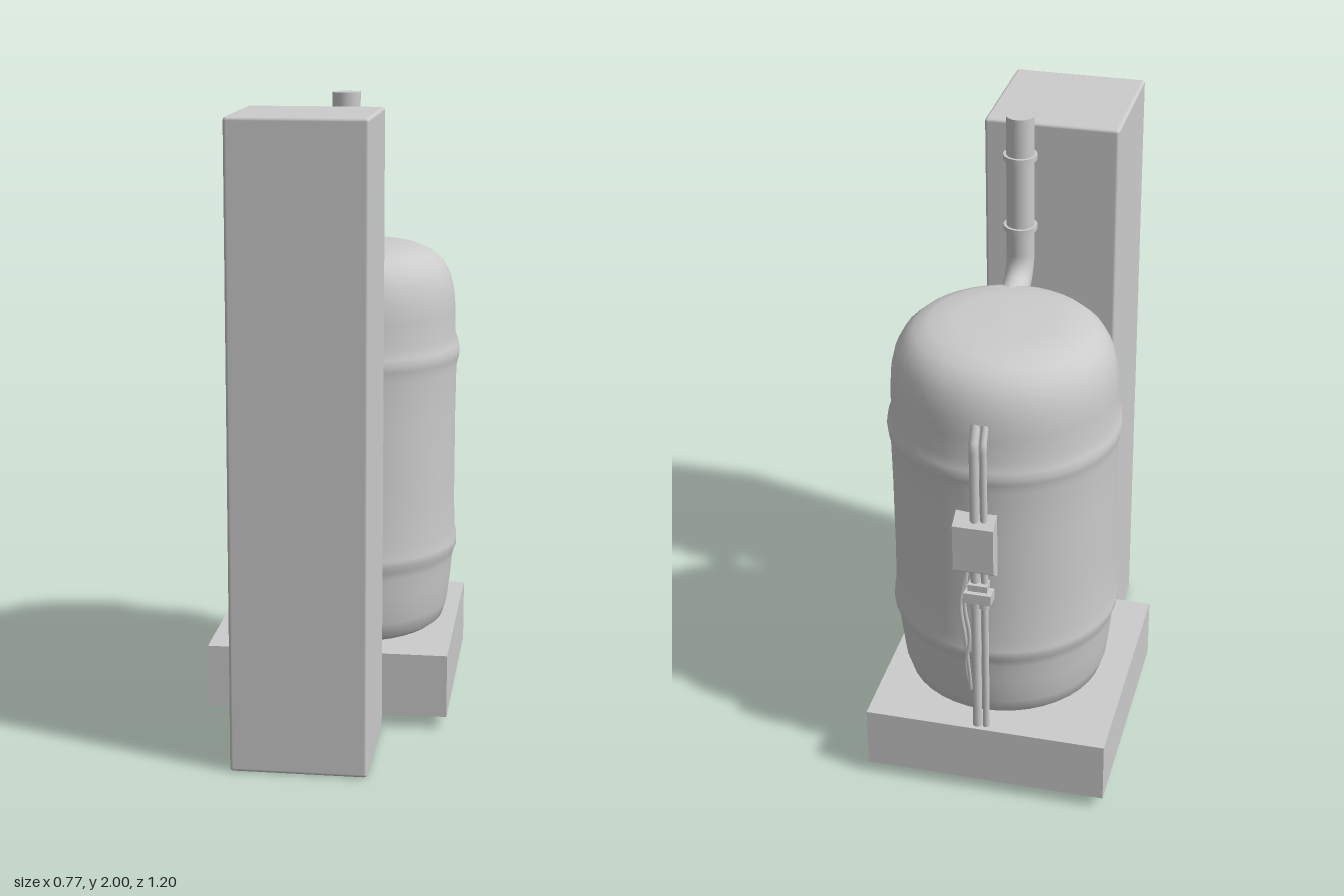
import * as THREE from 'three';
import { RoundedBoxGeometry } from 'three/addons/geometries/RoundedBoxGeometry.js';

const material = new THREE.MeshStandardMaterial({ color: 0xcccccc, side: THREE.DoubleSide });
const vec = (p) => new THREE.Vector3(...p);

export function createModel() {
  const group = new THREE.Group();
  const add = (name, geometry, x = 0, y = 0, z = 0) => {
    const mesh = new THREE.Mesh(geometry, material);
    mesh.name = name;
    mesh.position.set(x, y, z);
    group.add(mesh);
    return mesh;
  };
  // Disc closing a tube end
  const cap = (name, r, p, turn) => {
    add(name, new THREE.CircleGeometry(r, 20), ...p).rotation.x = turn;
  };

  // Plinth and tall chimney block
  add('plinth', new THREE.BoxGeometry(0.765, 0.203, 0.773), -0.003, 0.143, -0.209);
  add('chimneyBlock', new RoundedBoxGeometry(0.416, 1.96, 0.42, 2, 0.01), -0.033, 0.98, 0.389);

  // Tank: domed profile with two swelling bands
  const side = [
    [0.29, 0.245], [0.312, 0.262], [0.327, 0.31], [0.338, 0.4], [0.343, 0.46], [0.349, 0.485],
    [0.357, 0.505], [0.357, 0.525], [0.35, 0.56], [0.348, 0.7], [0.348, 0.95], [0.35, 1.1],
    [0.358, 1.135], [0.36, 1.155], [0.356, 1.175], [0.346, 1.205], [0.345, 1.28], [0.341, 1.34],
    [0.328, 1.395], [0.305, 1.438], [0.272, 1.468], [0.225, 1.488], [0.15, 1.497], [0, 1.5],
  ].map(([r, y]) => new THREE.Vector2(r, y));
  add('tank', new THREE.LatheGeometry([new THREE.Vector2(0, 0.245), ...side], 40), 0.02, 0, -0.205);

  // Flue pipe: into the dome, round the elbow and straight up
  const flue = new THREE.CurvePath();
  const fx = 0.053, fz = 0.137;
  flue.add(new THREE.LineCurve3(vec([fx, 1.448, -0.03]), vec([fx, 1.448, 0.04])));
  flue.add(new THREE.CubicBezierCurve3(vec([fx, 1.448, 0.04]), vec([fx, 1.448, 0.095]),
    vec([fx, 1.49, fz]), vec([fx, 1.55, fz])));
  flue.add(new THREE.LineCurve3(vec([fx, 1.55, fz]), vec([fx, 2, fz])));
  add('fluePipe', new THREE.TubeGeometry(flue, 60, 0.043, 24));
  cap('flueCap', 0.043, [fx, 2, fz], -Math.PI / 2);
  for (const y of [1.635, 1.868]) {
    add('flueCollar', new THREE.CylinderGeometry(0.052, 0.052, 0.016, 24), fx, y, fz);
  }

  // Twin service pipes on the back, bent into the tank at the top
  for (const [x, r] of [[-0.005, 0.011], [0.023, 0.015]]) {
    const path = new THREE.CurvePath();
    const points = [[x, 0.24, -0.57], [x, 1.27, -0.567], [x, 1.325, -0.54]].map(vec);
    path.add(new THREE.LineCurve3(points[0], points[1]));
    path.add(new THREE.LineCurve3(points[1], points[2]));
    add('servicePipe', new THREE.TubeGeometry(path, 40, r, 12));
    cap('servicePipeCap', r, points[2].toArray(), -Math.PI / 3);
  }

  // Control box with slanted top and bottom
  const outline = new THREE.Shape([[0.535, 0.805], [0.56, 0.815], [0.598, 0.845], [0.598, 1.0],
    [0.55, 1.028], [0.535, 1.028]].map((p) => new THREE.Vector2(...p)));
  const box = new THREE.ExtrudeGeometry(outline, { depth: 0.125, bevelEnabled: false });
  add('controlBox', box.rotateY(Math.PI / 2), -0.04);

  // Valve fittings below the box
  add('valveBody', new THREE.BoxGeometry(0.085, 0.035, 0.045), 0.012, 0.745, -0.574);
  add('valveFlange', new THREE.BoxGeometry(0.06, 0.022, 0.04), 0.012, 0.782, -0.573);
  for (const x of [-0.005, 0.023]) {
    add('valveNut', new THREE.CylinderGeometry(0.017, 0.017, 0.03, 6), x, 0.715, -0.57);
  }

  // Slack cables hanging from the box beside the pipes
  for (const s of [0, 1]) {
    const cable = new THREE.CatmullRomCurve3([
      [0.05, 0.83, -0.565], [0.058 + s * 0.012, 0.7, -0.57], [0.045 + s * 0.014, 0.58, -0.568],
      [0.06 - s * 0.008, 0.46, -0.56], [0.05, 0.36, -0.545],
    ].map(vec));
    add('cable', new THREE.TubeGeometry(cable, 30, 0.006, 6));
  }
  return group;
}
